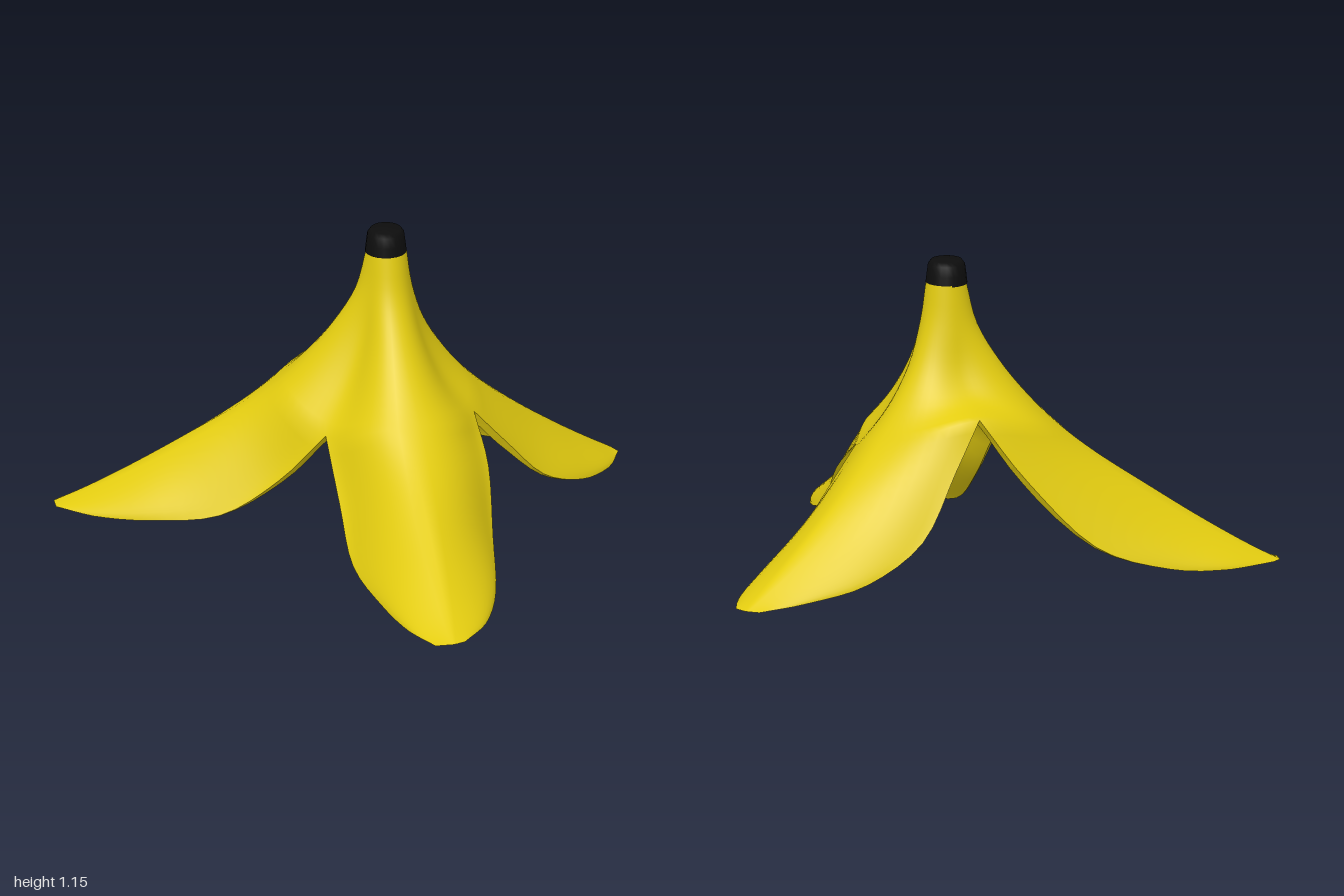
import * as THREE from 'three';
import { mergeGeometries, mergeVertices } from 'three/addons/utils/BufferGeometryUtils.js';

const CX = -0.113; // stem axis
const ROWS = 36, COLS = 20;
const NOTCH = 4 / 9; // share of the length where neighbouring flaps are joined
const THICKNESS = 0.03;

// [radius, height] along a fixed heading -> points around the stem axis
const ray = (deg, list) => list.map(([r, y]) => {
  const a = THREE.MathUtils.degToRad(deg);
  return [CX + r * Math.cos(a), y, r * Math.sin(a)];
});
const curve = (pts) => new THREE.CatmullRomCurve3(
  pts.map((p) => new THREE.Vector3(...p)), false, 'catmullrom', 0.5);

// A valley down to the notch, then the free edge of one flap
function border(valley, edge) {
  const upper = curve(valley), lower = curve([valley[valley.length - 1], ...edge]);
  return (t) => (t <= NOTCH ? upper.getPoint(t / NOTCH) : lower.getPoint((t - NOTCH) / (1 - NOTCH)));
}

// Valleys shared by neighbouring flaps, each running from the stem to a notch
const lowValley = [[0.074, 1.06], [0.095, 0.91], [0.138, 0.74], [0.215, 0.58]];
const highValley = [[0.074, 1.06], [0.096, 0.9], [0.13, 0.745], [0.2, 0.652]];
const frontValley = [...ray(61, lowValley), [0.05, 0.44, 0.285]];
const backValley = [...ray(-58, highValley), [0.06, 0.61, -0.268]];
const sideValley = [...ray(180, lowValley), [-0.448, 0.42, 0]];

const longSpine = [[0.074, 1.06], [0.115, 0.9], [0.2, 0.755], [0.3, 0.63], [0.41, 0.52],
  [0.55, 0.41], [0.74, 0.285], [0.92, 0.17], [1.09, 0.07], [1.225, 0]];
const shortSpine = [[0.074, 1.06], [0.097, 0.92], [0.15, 0.77], [0.235, 0.635], [0.33, 0.52],
  [0.45, 0.41], [0.6, 0.29], [0.76, 0.175], [0.91, 0.075], [1.03, 0]];

// Each flap: heading, spine, then the borders on the lower- and higher-angle side
const flaps = [
  { deg: 11, spine: shortSpine,
    lo: border(backValley, [[0.18, 0.43, -0.243], [0.34, 0.2, -0.21], [0.55, 0.07, -0.11], [0.74, 0.02, 0.03], [0.885, 0, 0.145]]),
    hi: border(frontValley, [[0.18, 0.29, 0.325], [0.34, 0.12, 0.367], [0.55, 0.03, 0.368], [0.75, 0, 0.325], [0.885, 0, 0.25]]) },
  { deg: 126.7, spine: longSpine,
    lo: border(frontValley, [[-0.05, 0.3, 0.445], [-0.2, 0.115, 0.6], [-0.42, 0.025, 0.81], [-0.62, 0, 0.94], [-0.8, 0, 0.995]]),
    hi: border(sideValley, [[-0.545, 0.22, 0.155], [-0.67, 0.07, 0.33], [-0.79, 0.02, 0.58], [-0.865, 0, 0.78], [-0.9, 0, 0.94]]) },
  { deg: -125.6, spine: longSpine,
    lo: border(sideValley, [[-0.53, 0.22, -0.16], [-0.65, 0.07, -0.34], [-0.77, 0.02, -0.58], [-0.84, 0, -0.79], [-0.865, 0, -0.95]]),
    hi: border(backValley, [[-0.03, 0.38, -0.42], [-0.18, 0.13, -0.62], [-0.4, 0.025, -0.8], [-0.6, 0, -0.93], [-0.78, 0, -0.998]]) },
];

// Sheet lofted from border to spine to border: fluted near the stem, arched further out
function flapGeometry({ deg, spine, lo, hi }) {
  const head = THREE.MathUtils.degToRad(deg);
  const mid = curve(ray(deg, spine));
  const polar = (p) => {
    let a = Math.atan2(p.z, p.x - CX) - head;
    a -= Math.round(a / (2 * Math.PI)) * 2 * Math.PI;
    return { a, r: Math.hypot(p.x - CX, p.z), y: p.y };
  };
  const pos = [], index = [];
  for (let j = 0; j <= ROWS; j++) {
    const t = j / ROWS;
    const s = polar(mid.getPoint(t)), l = polar(lo(t)), h = polar(hi(t));
    const arch = THREE.MathUtils.smoothstep(t, 0.38, 0.85);
    for (let i = 0; i <= COLS; i++) {
      const u = (2 * i) / COLS - 1, e = u < 0 ? l : h;
      const v = Math.abs(u), q = v * Math.PI / 2;
      const flute = (1 - Math.cos(v * Math.PI)) / 2;
      const turn = THREE.MathUtils.lerp(v, Math.sin(q), arch);
      const reach = THREE.MathUtils.lerp(flute, Math.sin(q), arch);
      const drop = THREE.MathUtils.lerp(flute, 0.5 * Math.sin(q) + 0.5 * (1 - Math.cos(q)), arch);
      const a = head + e.a * turn;
      const r = s.r + (e.r - s.r) * reach;
      pos.push(CX + r * Math.cos(a), Math.max(0, s.y + (e.y - s.y) * drop), r * Math.sin(a));
    }
  }
  const w = COLS + 1;
  for (let j = 0; j < ROWS; j++) {
    for (let i = 0; i < COLS; i++) {
      const p = j * w + i;
      index.push(p, p + 1, p + w, p + 1, p + w + 1, p + w);
    }
  }
  const g = new THREE.BufferGeometry();
  g.setAttribute('position', new THREE.Float32BufferAttribute(pos, 3));
  g.setIndex(index);
  return g;
}

// Inner layer set back along the normals, thinning out towards the ground
function liningGeometry(outer) {
  const g = outer.clone();
  const p = g.attributes.position, n = g.attributes.normal;
  for (let i = 0; i < p.count; i++) {
    const d = THICKNESS * Math.min(1, p.getY(i) / 0.3);
    p.setXYZ(i, p.getX(i) - n.getX(i) * d, Math.max(0, p.getY(i) - n.getY(i) * d), p.getZ(i) - n.getZ(i) * d);
  }
  g.setIndex(Array.from(outer.index.array).reverse());
  g.computeVertexNormals();
  return g;
}

// Narrow strip joining the two layers along every open edge
function rimGeometry(outer, lining) {
  const idx = outer.index.array, edges = new Map();
  for (let i = 0; i < idx.length; i += 3) {
    for (let k = 0; k < 3; k++) {
      const a = idx[i + k], b = idx[i + (k + 1) % 3];
      edges.set(`${a},${b}`, [a, b]);
    }
  }
  const pos = [];
  const put = (g, i) => pos.push(...new THREE.Vector3().fromBufferAttribute(g.attributes.position, i));
  for (const [a, b] of edges.values()) {
    if (edges.has(`${b},${a}`)) continue;
    put(outer, b); put(outer, a); put(lining, a);
    put(outer, b); put(lining, a); put(lining, b);
  }
  const g = new THREE.BufferGeometry();
  g.setAttribute('position', new THREE.Float32BufferAttribute(pos, 3));
  g.computeVertexNormals();
  return g;
}

export function createModel() {
  const group = new THREE.Group();
  group.name = 'bananaPeel';
  const yellow = new THREE.MeshStandardMaterial({ color: 0xe3cc10, side: THREE.DoubleSide });
  yellow.name = 'peelYellow';
  const black = new THREE.MeshStandardMaterial({ color: 0x0d0d0d });
  black.name = 'stemBlack';
  const add = (name, geometry, material) => {
    const mesh = new THREE.Mesh(geometry, material);
    mesh.name = name;
    group.add(mesh);
    return mesh;
  };

  // Three flaps welded along their valleys
  const outer = mergeVertices(mergeGeometries(flaps.map(flapGeometry)), 1e-4);
  outer.computeVertexNormals();
  const lining = liningGeometry(outer);
  add('peelOutside', outer, yellow);
  add('peelInside', lining, yellow);
  add('peelRim', rimGeometry(outer, lining), yellow);

  // Dark stem end
  const profile = [[0.077, 1.055], [0.073, 1.09], [0.068, 1.128], [0.057, 1.143], [0, 1.147]];
  const stem = add('stemTip',
    new THREE.LatheGeometry(profile.map(([r, y]) => new THREE.Vector2(r, y)), 20), black);
  stem.position.x = CX - 0.003;
  return group;
}
